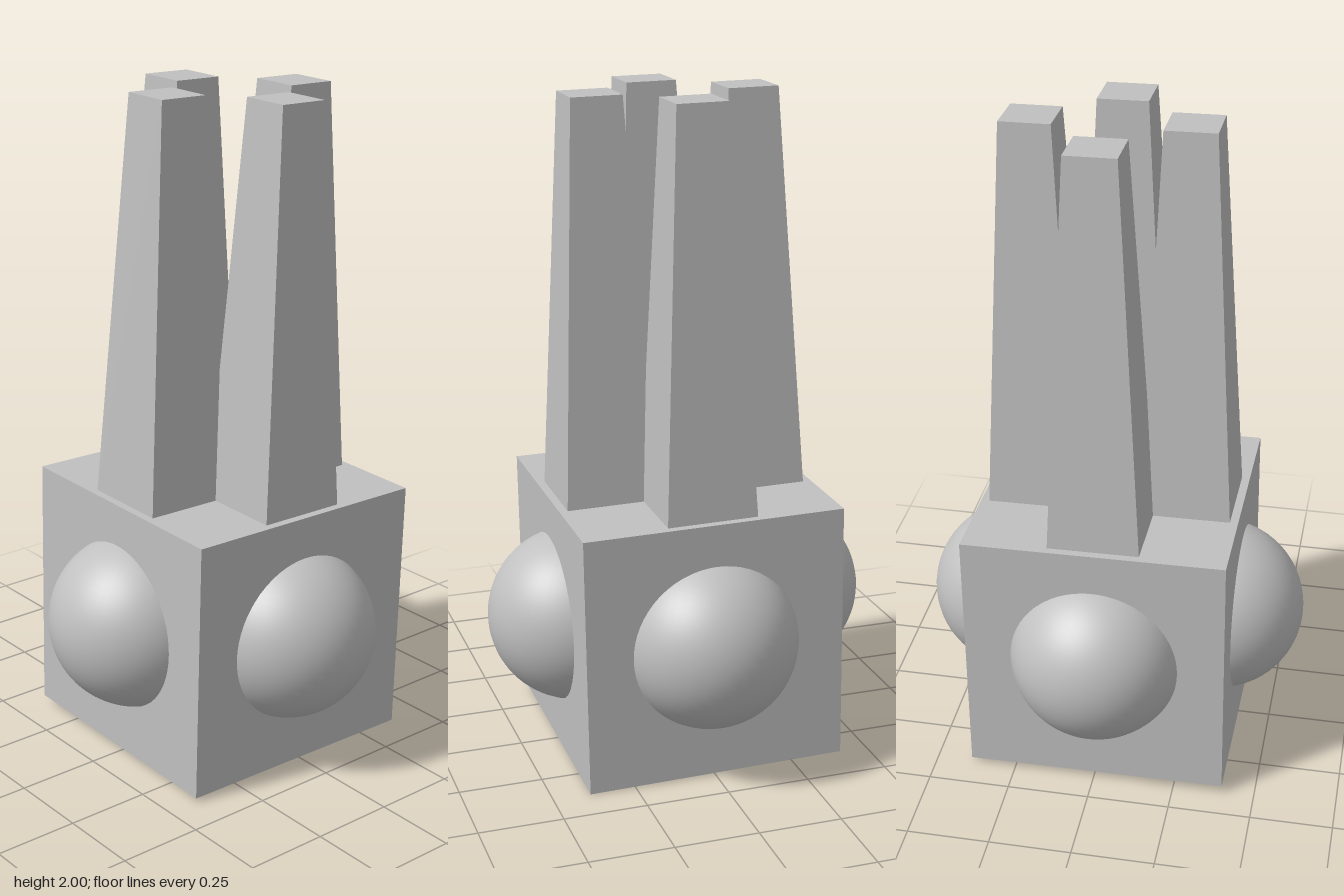
import * as THREE from 'three';

export function createModel() {
  const model = new THREE.Group();
  model.name = 'pillaredCube';
  const grey = new THREE.MeshStandardMaterial({ color: 0xc0c0c0 });
  grey.name = 'grey';
  const flatGrey = grey.clone();
  flatGrey.flatShading = true;

  // Everything hangs off one body group that leans very slightly
  const body = new THREE.Group();
  body.name = 'leaningBody';
  body.position.set(-0.002, 0.408, -0.002);
  body.rotation.set(0.0185, -0.006, -0.0145);
  model.add(body);

  const add = (name, geometry, material, x, y, z) => {
    const mesh = new THREE.Mesh(geometry, material);
    mesh.name = name;
    mesh.position.set(x, y, z);
    body.add(mesh);
  };

  // Cube base
  const side = 0.79, top = 1.587;
  add('cube', new THREE.BoxGeometry(side, side, side), flatGrey, 0, 0, 0);

  // Tapered square pillar: four-sided frustum, turned to face the axes
  const height = top - side / 2;
  const pillar = new THREE.CylinderGeometry(0.076 * Math.SQRT2, 0.137 * Math.SQRT2, height, 4);
  pillar.rotateY(Math.PI / 4);
  const dome = new THREE.SphereGeometry(0.265, 48, 32);

  // One dome on each side face and one pillar above it
  const sides = [['front', 0, 1], ['left', 1, 0], ['back', 0, -1], ['right', -1, 0]];
  for (const [name, x, z] of sides) {
    add(name + 'Dome', dome, grey, x * 0.323, 0.012, z * 0.323);
    add(name + 'Pillar', pillar, flatGrey, x * 0.233, side / 2 + height / 2, z * 0.233);
  }
  return model;
}
